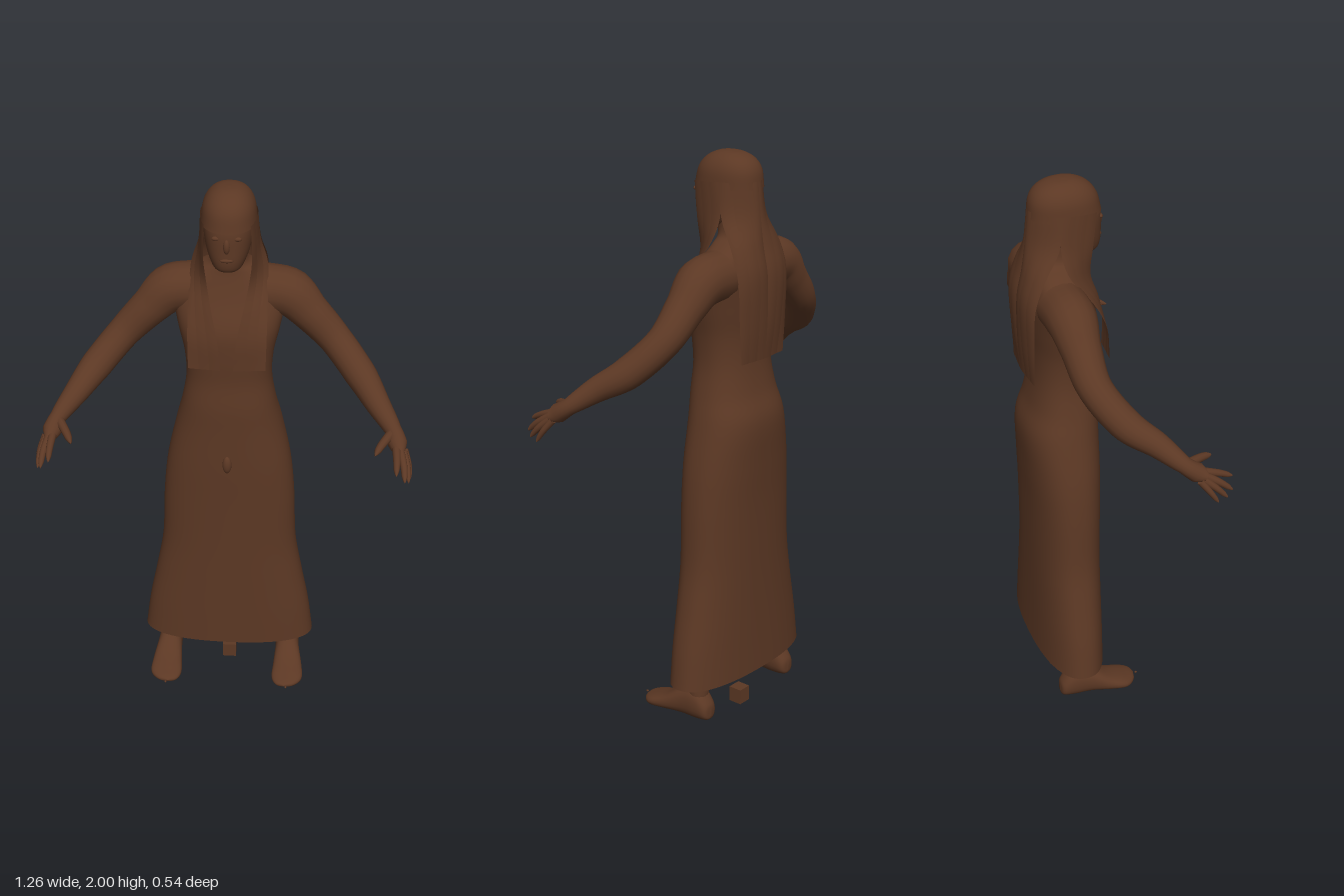
import * as THREE from 'three';

const brown = new THREE.MeshStandardMaterial({ color: 0x5c3824, side: THREE.DoubleSide });
brown.name = 'brown';

const V = (a) => new THREE.Vector3(a[0], a[1], a[2]);
const spline = (pts) => new THREE.CatmullRomCurve3(pts.map(V), false, 'catmullrom', 0.5);

function add(parent, name, geometry) {
  const mesh = new THREE.Mesh(geometry, brown);
  mesh.name = name;
  parent.add(mesh);
  return mesh;
}

// Smooth skin from a grid of points; closed joins the last column to the first
function grid(rows, cols, closed, point) {
  const pos = [], idx = [], n = closed ? cols : cols + 1;
  for (let j = 0; j <= rows; j++) for (let i = 0; i < n; i++) pos.push(...point(i / cols, j / rows));
  for (let j = 0; j < rows; j++) for (let i = 0; i < cols; i++) {
    const a = j * n + i, b = j * n + (i + 1) % n;
    idx.push(a, b, b + n, a, b + n, a + n);
  }
  const g = new THREE.BufferGeometry();
  g.setAttribute('position', new THREE.Float32BufferAttribute(pos, 3));
  g.setIndex(idx);
  g.computeVertexNormals();
  return g;
}

// Upright loft through rows of [y, half width, front z, back z, centre x]
function loft(rows, power = 2, cols = 40) {
  const c1 = spline(rows.map((r) => [r[0], r[1], r[2]]));
  const c2 = spline(rows.map((r) => [r[3], r[4] || 0, 0]));
  const round = (v) => Math.sign(v) * Math.abs(v) ** (2 / power);
  return grid((rows.length - 1) * 5, cols, true, (u, v) => {
    const p = c1.getPoint(v), q = c2.getPoint(v), a = u * Math.PI * 2;
    return [q.y + Math.max(p.y, 0) * round(Math.sin(a)), p.x,
      (p.z + q.x) / 2 + (p.z - q.x) / 2 * round(Math.cos(a))];
  });
}

// Round-ended limb through points of [x, y, z, radius]
function limb(pts, segs = 28, sides = 16) {
  const curve = spline(pts), g = new THREE.TubeGeometry(curve, segs, 1, sides);
  const p = g.attributes.position, v = new THREE.Vector3();
  for (let i = 0; i <= segs; i++) {
    const u = i / segs, c = curve.getPointAt(u);
    const t = curve.getUtoTmapping(u) * (pts.length - 1);
    const k = Math.min(Math.floor(t), pts.length - 2);
    let r = THREE.MathUtils.lerp(pts[k][3], pts[k + 1][3], t - k);
    r *= Math.sqrt(Math.min(1, (1 - u) * segs / 3));
    for (let j = 0; j <= sides; j++) {
      const n = i * (sides + 1) + j;
      v.fromBufferAttribute(p, n).sub(c).multiplyScalar(r).add(c);
      p.setXYZ(n, v.x, v.y, v.z);
    }
  }
  return g;
}

// Several hair locks side by side between two edge curves
function locks(parent, name, inner, outer, count, bulge, side) {
  const a = spline(inner), b = spline(outer);
  for (let k = 0; k < count; k++) {
    add(parent, name, grid(24, 5, false, (u, v) => {
      const w = (k + u) / count;
      const p = a.getPoint(v).lerp(b.getPoint(v), w);
      const s = 1 + bulge * 4 * w * (1 - w) * (1 - v) + 0.025 * u * (1 - u);
      return [side * p.x * s, p.y, -0.1 + (p.z + 0.1) * s];
    }));
  }
}

function ball(parent, name, x, y, z, sx, sy, sz) {
  const m = add(parent, name, new THREE.SphereGeometry(1, 16, 12));
  m.position.set(x, y, z);
  m.scale.set(sx, sy, sz);
}

export function createModel() {
  const model = new THREE.Group();
  model.name = 'robedFigure';

  // Long open robe running into the torso, shoulders and neck
  add(model, 'robeAndTorso', loft([
    [0.165, 0.315, -0.02, -0.255], [0.3, 0.297, -0.018, -0.252], [0.45, 0.268, -0.016, -0.25],
    [0.6, 0.243, -0.014, -0.25], [0.8, 0.234, -0.01, -0.253], [0.95, 0.218, -0.006, -0.26],
    [1.1, 0.186, -0.005, -0.265], [1.2, 0.162, -0.004, -0.238], [1.3, 0.147, -0.01, -0.222],
    [1.4, 0.153, -0.005, -0.22], [1.5, 0.175, -0.008, -0.23], [1.6, 0.19, -0.045, -0.238],
    [1.66, 0.165, -0.065, -0.23], [1.7, 0.105, -0.075, -0.215], [1.73, 0.06, -0.075, -0.19],
    [1.8, 0.052, -0.06, -0.18],
  ], 2.35, 56));

  // Head and crown of hair
  add(model, 'head', loft([
    [1.735, 0, -0.03, -0.06], [1.742, 0.04, 0.005, -0.1], [1.77, 0.06, 0.018, -0.15],
    [1.82, 0.076, 0.02, -0.185], [1.88, 0.083, 0.018, -0.2], [1.93, 0.078, 0, -0.2],
    [1.97, 0.055, -0.03, -0.17], [1.985, 0, -0.1, -0.1],
  ], 2.3));
  add(model, 'hairCrown', loft([
    [1.885, 0.092, 0.021, -0.222], [1.94, 0.085, 0.007, -0.215], [1.975, 0.066, -0.02, -0.192],
    [1.995, 0.036, -0.06, -0.15], [2.0, 0, -0.1, -0.1],
  ], 2.2));
  ball(model, 'nose', 0, 1.84, 0.018, 0.011, 0.026, 0.011);
  ball(model, 'mouth', 0, 1.79, 0.017, 0.022, 0.007, 0.007);

  // Small pendant at the waist and the block between the feet
  ball(model, 'waistDrop', 0, 0.982, -0.006, 0.016, 0.034, 0.014);
  const block = add(model, 'block', new THREE.BoxGeometry(0.05, 0.05, 0.05));
  block.position.set(0, 0.028, -0.158);
  block.scale.y = 1.12;

  for (const s of [1, -1]) {
    const side = s > 0 ? 'left' : 'right';
    const m = (pts) => pts.map(([x, ...rest]) => [s * x, ...rest]);

    ball(model, side + 'Eye', s * 0.035, 1.865, 0.01, 0.014, 0.008, 0.008);

    // Hair falling over the shoulder in front and down the back
    locks(model, side + 'FrontLock',
      [[0.075, 1.9, -0.015], [0.08, 1.78, -0.03], [0.07, 1.68, -0.035], [0.05, 1.58, 0], [0.03, 1.48, 0.02], [0.022, 1.38, 0.02]],
      [[0.091, 1.91, -0.13], [0.101, 1.8, -0.145], [0.128, 1.71, -0.125], [0.132, 1.6, -0.045], [0.132, 1.5, 0], [0.13, 1.38, 0.01]],
      3, 0.1, s);
    locks(model, side + 'BackLock',
      [[0, 1.91, -0.221], [0, 1.8, -0.232], [0, 1.7, -0.246], [0, 1.6, -0.265], [0, 1.45, -0.266], [0, 1.32, -0.256]],
      [[0.091, 1.91, -0.13], [0.102, 1.8, -0.15], [0.122, 1.7, -0.21], [0.126, 1.6, -0.243], [0.12, 1.45, -0.246], [0.11, 1.32, -0.246]],
      3, 0.22, s);

    // Arm with palm and digits
    add(model, side + 'Arm', limb(m([
      [0.11, 1.61, -0.15, 0.085], [0.2, 1.597, -0.145, 0.083], [0.27, 1.53, -0.14, 0.066],
      [0.36, 1.435, -0.125, 0.056], [0.45, 1.34, -0.055, 0.054], [0.51, 1.28, 0.03, 0.042],
      [0.565, 1.222, 0.1, 0.028], [0.582, 1.19, 0.145, 0.034], [0.592, 1.17, 0.178, 0.028],
    ]), 48));
    const digits = [
      ['Thumb', [0.558, 1.22, 0.115], [0.525, 1.208, 0.175], [0.504, 1.195, 0.22], 0.014],
      ['IndexFinger', [0.576, 1.19, 0.16], [0.578, 1.172, 0.215], [0.577, 1.148, 0.266], 0.012],
      ['MiddleFinger', [0.59, 1.18, 0.165], [0.602, 1.152, 0.21], [0.607, 1.115, 0.255], 0.012],
      ['RingFinger', [0.6, 1.175, 0.155], [0.615, 1.14, 0.195], [0.621, 1.1, 0.232], 0.011],
      ['LittleFinger', [0.604, 1.175, 0.14], [0.62, 1.135, 0.17], [0.627, 1.092, 0.198], 0.01],
    ];
    for (const [name, a, b, c, r] of digits) {
      add(model, side + name, limb(m([[...a, r * 1.2], [...b, r], [...c, r * 0.65]]), 14, 10));
    }

    // Leg under the robe and bare foot
    add(model, side + 'Leg', limb(m([
      [0.1, 0.95, -0.13, 0.085], [0.16, 0.55, -0.135, 0.062], [0.205, 0.3, -0.15, 0.052],
      [0.222, 0.15, -0.155, 0.042], [0.224, 0.06, -0.155, 0.042],
    ])));
    const foot = loft([
      [-0.212, 0, -0.05, -0.07, s * 0.222], [-0.203, 0.03, -0.034, -0.1, s * 0.222],
      [-0.16, 0.042, -0.027, -0.145, s * 0.222], [-0.1, 0.045, -0.028, -0.135, s * 0.224],
      [-0.03, 0.054, -0.027, -0.092, s * 0.228], [0.03, 0.057, -0.026, -0.068, s * 0.228],
      [0.065, 0.035, -0.032, -0.055, s * 0.222], [0.077, 0, -0.042, -0.046, s * 0.218],
    ], 2.3, 24);
    add(model, side + 'Foot', foot.rotateX(Math.PI / 2));
    ball(model, side + 'ToeTip', s * 0.226, 0.046, 0.085, 0.004, 0.004, 0.005);
  }
  return model;
}
